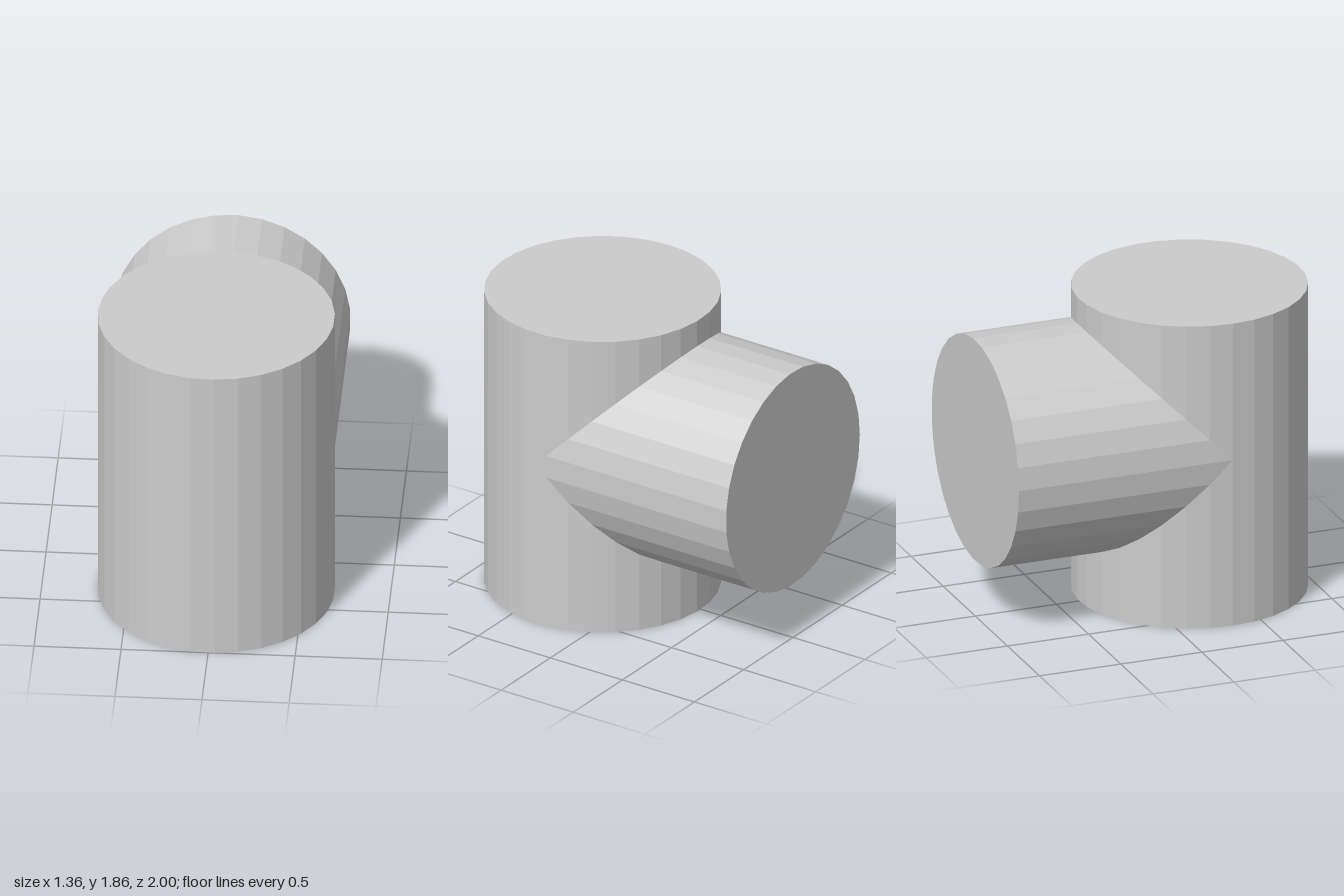
import * as THREE from 'three';

const R = 0.68;        // shared radius of both pipes
const SIDES = 31;
const HEIGHT = 1.86;
const AXIS_Z = 0.32;   // axis of the upright pipe
const AXIS_Y = 1.02;   // axis of the branch
const BACK_Z = -1;

export function createModel() {
  const group = new THREE.Group();
  group.name = 'pipeTee';
  const material = new THREE.MeshStandardMaterial({ color: 0xcccccc, flatShading: true });
  const add = (name, geometry) => {
    const mesh = new THREE.Mesh(geometry, material);
    mesh.name = name;
    group.add(mesh);
  };

  // upright pipe, closed at both ends, with a corner at -x
  const upright = new THREE.CylinderGeometry(R, R, HEIGHT, SIDES, 1, false, -Math.PI / 2);
  upright.translate(0, HEIGHT / 2, AXIS_Z);
  add('uprightPipe', upright);

  // branch wall running to the back
  const length = AXIS_Z - BACK_Z;
  const branch = new THREE.CylinderGeometry(R, R, length, SIDES, 1, true, -Math.PI / 2);
  branch.rotateX(-Math.PI / 2);
  branch.translate(0, AXIS_Y, (AXIS_Z + BACK_Z) / 2);

  // mitre the inner end so that it meets the upright wall along a V
  const p = branch.attributes.position;
  for (let i = 0; i < p.count; i++) {
    if (p.getZ(i) > AXIS_Z - 0.001) p.setZ(i, AXIS_Z - Math.abs(p.getY(i) - AXIS_Y));
  }
  branch.computeVertexNormals();
  add('branchPipe', branch);

  // flat end of the branch
  const cap = new THREE.CircleGeometry(R, SIDES);
  cap.rotateY(Math.PI);
  cap.translate(0, AXIS_Y, BACK_Z);
  add('branchEnd', cap);

  return group;
}
